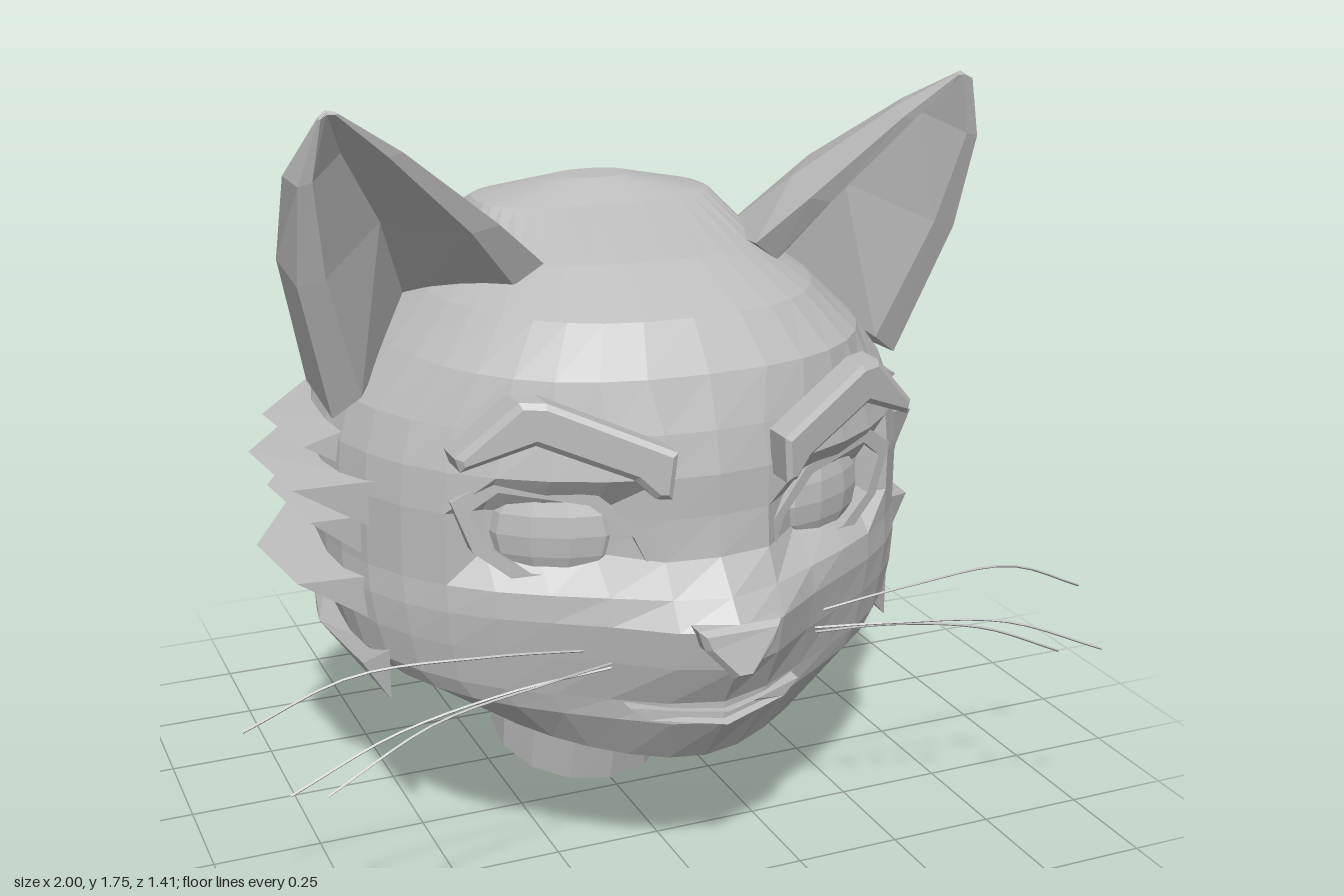
import * as THREE from 'three';
import { ConvexGeometry } from 'three/addons/geometries/ConvexGeometry.js';

const clay = new THREE.MeshStandardMaterial({ color: 0xbcbcbc, flatShading: true });
clay.name = 'clay grey';

// Closed solid through equal-length rings of [x, y, z], turned to face outward
function loft(rings) {
  const tris = [];
  const n = rings[0].length;
  const centre = (r) => [0, 1, 2].map((k) => r.reduce((s, p) => s + p[k], 0) / n);
  const first = rings[0], last = rings[rings.length - 1];
  const c0 = centre(first), c1 = centre(last);
  for (let j = 0; j < n; j++) {
    const k = (j + 1) % n;
    for (let i = 0; i < rings.length - 1; i++) {
      const a = rings[i][j], b = rings[i][k], c = rings[i + 1][k], d = rings[i + 1][j];
      tris.push([a, b, c], [a, c, d]);
    }
    tris.push([c0, first[k], first[j]], [c1, last[j], last[k]]);
  }
  let volume = 0;
  for (const [a, b, c] of tris) {
    volume += a[0] * (b[1] * c[2] - b[2] * c[1]) + a[1] * (b[2] * c[0] - b[0] * c[2]) + a[2] * (b[0] * c[1] - b[1] * c[0]);
  }
  if (volume < 0) tris.forEach((t) => t.reverse());
  const geo = new THREE.BufferGeometry();
  geo.setAttribute('position', new THREE.Float32BufferAttribute(tris.flat(2), 3));
  geo.computeVertexNormals();
  return geo;
}

// Copy of a geometry reflected in x, with corner order restored
function mirror(source) {
  const geo = source.index ? source.toNonIndexed() : source.clone();
  const p = geo.attributes.position;
  const v = [0, 1, 2].map(() => new THREE.Vector3());
  for (let i = 0; i < p.count; i += 3) {
    v.forEach((q, k) => q.fromBufferAttribute(p, i + k));
    [0, 2, 1].forEach((from, k) => p.setXYZ(i + k, -v[from].x, v[from].y, v[from].z));
  }
  geo.computeVertexNormals();
  return geo;
}

// Flat outline extruded and swept back along the slope of the face
function facePlate(outline, hole, z, depth, bevel, slope = 0.47) {
  const points = (list) => list.map(([x, y]) => new THREE.Vector2(x, y));
  const shape = new THREE.Shape(points(outline));
  if (hole) shape.holes.push(new THREE.Path(points(hole)));
  const geo = new THREE.ExtrudeGeometry(shape, {
    depth, bevelEnabled: bevel > 0, bevelSize: bevel, bevelThickness: bevel, bevelOffset: -bevel, bevelSegments: 1,
  });
  const p = geo.attributes.position;
  for (let i = 0; i < p.count; i++) p.setZ(i, p.getZ(i) + z - slope * Math.abs(p.getX(i)));
  geo.computeVertexNormals();
  return geo;
}

// Skull levels: y, side lift, half width, z of widest point, front z, back z, muzzle bulge
const SKULL = [
  [0.33, 0.1, 0.48, 0.08, 0.46, -0.47, 0.05],
  [0.45, 0.05, 0.62, 0.05, 0.5, -0.57, 0.1],
  [0.5, 0.04, 0.66, 0.02, 0.51, -0.61, 0.09],
  [0.6, 0.02, 0.68, 0, 0.53, -0.66, 0.13],
  [0.69, 0, 0.69, -0.03, 0.55, -0.7, 0.13],
  [0.75, 0, 0.69, -0.05, 0.55, -0.71, 0.08],
  [0.82, 0, 0.69, -0.05, 0.55, -0.71, 0.02],
  [0.91, 0, 0.69, -0.05, 0.55, -0.71, 0.01],
  [1.0, 0, 0.68, -0.06, 0.55, -0.69, 0.01],
  [1.09, 0, 0.65, -0.08, 0.54, -0.665, 0],
  [1.2, 0, 0.55, -0.12, 0.5, -0.63, 0],
  [1.3, 0, 0.45, -0.15, 0.42, -0.59, 0],
  [1.385, -0.02, 0.36, -0.15, 0.25, -0.555, 0],
  [1.46, 0, 0.28, -0.15, 0, -0.34, 0],
  [1.505, 0, 0.08, -0.15, -0.09, -0.2, 0],
];

function skullGeometry() {
  const columns = 36;
  return loft(SKULL.map(([y, lift, w, zc, zf, zb, bulge]) => {
    const ring = [];
    // Squarer outline at the back and across the upper forehead
    const frontPower = y > 1.15 ? 0.8 : 1;
    for (let i = 0; i < columns; i++) {
      const a = (i / columns) * Math.PI * 2;
      const s = Math.sin(a), c = Math.cos(a);
      const power = c >= 0 ? frontPower : 0.8;
      const x = w * Math.sign(s) * Math.pow(Math.abs(s), power);
      let z = zc + ((c >= 0 ? zf : zb) - zc) * Math.pow(Math.abs(c), power);
      if (c > 0) z += bulge * Math.exp(-((x / 0.2) ** 2));
      // Hollow the eye sockets
      const ax = Math.abs(x);
      if (c > 0 && ax > 0.17 && ax < 0.46 && y > 0.8 && y < 0.95) z -= 0.07;
      ring.push([x, y + lift * s * s, z]);
    }
    return ring;
  }));
}

// Neck with a thick open rim: half width, front z, back z, front y, back y
function neckGeometry() {
  const levels = [
    [0.14, -0.12, -0.37, 0.18, 0.26],
    [0.16, -0.1, -0.4, 0.03, 0.12],
    [0.23, -0.04, -0.46, 0.003, 0.144],
    [0.23, -0.01, -0.47, 0.13, 0.22],
    [0.25, 0.02, -0.49, 0.21, 0.31],
    [0.33, 0.09, -0.52, 0.3, 0.39],
    [0.45, 0.17, -0.57, 0.37, 0.46],
    [0.58, 0.2, -0.62, 0.44, 0.54],
  ];
  return loft(levels.map(([w, zf, zb, yf, yb]) => Array.from({ length: 14 }, (_, i) => {
    const a = (i / 14) * Math.PI * 2, t = (1 - Math.cos(a)) / 2;
    return [w * Math.sin(a), yf + (yb - yf) * t, zf + (zb - zf) * t];
  })));
}

// Ear sections from base to tip: inner edge, back ridge, outer back, outer edge
function earGeometry() {
  const sections = [
    [[0.25, 1.39, 0.2], [0.44, 1.25, -0.41], [0.67, 1.06, -0.24], [0.69, 1.06, 0.07]],
    [[0.36, 1.49, 0.24], [0.55, 1.51, -0.13], [0.755, 1.38, -0.1], [0.775, 1.38, 0.17]],
    [[0.57, 1.66, 0.27], [0.67, 1.67, 0.09], [0.78, 1.6, 0.11], [0.78, 1.6, 0.24]],
    [[0.7, 1.745, 0.275], [0.72, 1.75, 0.25], [0.735, 1.74, 0.255], [0.74, 1.735, 0.27]],
  ];
  return loft(sections.map((section) => {
    const [inner, back, outerBack, outer] = section.map((p) => new THREE.Vector3(...p));
    const mid = inner.clone().add(outer).add(back).divideScalar(3);
    const innerBack = inner.clone().lerp(back, 0.4).sub(mid).multiplyScalar(1.35).add(mid);
    const rimIn = inner.clone().lerp(outer, 0.14), rimOut = inner.clone().lerp(outer, 0.86);
    const hollow = inner.clone().lerp(outer, 0.5).lerp(back, 0.5);
    return [inner, innerBack, back, outerBack, outer, rimOut, hollow, rimIn].map((p) => p.toArray());
  }));
}

// Cheek fur: broad swept wedges meeting toward the back of the head
function tuftGeometry([x, y, zFront, zBack, backY, root]) {
  return new ConvexGeometry([
    [x - 0.03, y, zFront], [x, y, zBack],
    [0.62, y + 0.06, root], [0.62, y - 0.06, root],
    [0.65, y + 0.04, -0.36], [0.65, y - 0.05, -0.34], [0.52, backY, -0.56],
  ].map((p) => new THREE.Vector3(...p)));
}

function whiskerGeometry(points) {
  const curve = new THREE.CatmullRomCurve3(points.map((p) => new THREE.Vector3(...p)));
  return new THREE.TubeGeometry(curve, 14, 0.003, 4);
}

export function createModel() {
  const model = new THREE.Group();
  model.name = 'catHead';
  const add = (name, geo) => {
    const mesh = new THREE.Mesh(geo, clay);
    mesh.name = name;
    model.add(mesh);
  };
  const addPair = (name, geo) => {
    add(name + 'Left', geo);
    add(name + 'Right', mirror(geo));
  };

  add('skull', skullGeometry());
  add('neck', neckGeometry());
  addPair('ear', earGeometry());

  // Eyes
  const lidOuter = [[0.09, 0.77], [0.17, 0.77], [0.28, 0.755], [0.39, 0.76], [0.48, 0.83], [0.52, 0.94], [0.45, 0.99], [0.24, 0.96], [0.14, 0.87]];
  const lidInner = [[0.14, 0.79], [0.28, 0.78], [0.37, 0.785], [0.45, 0.84], [0.485, 0.92], [0.43, 0.965], [0.26, 0.94], [0.175, 0.87]];
  addPair('eyelid', facePlate(lidOuter, lidInner, 0.51, 0.09, 0));
  const eye = new THREE.SphereGeometry(0.13, 10, 8);
  eye.scale(1.1, 0.9, 0.42).rotateY(0.46).translate(0.31, 0.865, 0.395);
  addPair('eyeball', eye);

  // Brows
  const brow = [[0.13, 0.98], [0.16, 0.98], [0.2, 1.02], [0.38, 1.09], [0.52, 1.03], [0.53, 1.06], [0.41, 1.18], [0.36, 1.18], [0.12, 1.08]];
  addPair('brow', facePlate(brow, null, 0.6, 0.07, 0.012));

  // Nose and mouth
  const nose = [[-0.08, 0.66], [-0.02, 0.595], [0.02, 0.595], [0.08, 0.66], [0.095, 0.705], [-0.095, 0.705]];
  add('nose', facePlate(nose, null, 0.61, 0.085, 0.012, 0.3));
  const lip = [[-0.2, 0.5], [-0.16, 0.47], [0, 0.455], [0.16, 0.47], [0.2, 0.5], [0.08, 0.488], [0, 0.485], [-0.08, 0.488]];
  add('lowerLip', facePlate(lip, null, 0.54, 0.08, 0, 0.33));

  // Cheek tufts: tip x, y, front z, back z, back y, root z
  [
    [0.77, 0.98, 0, -0.27, 1.0, 0.06],
    [0.805, 0.89, 0.02, -0.28, 0.96, 0.19],
    [0.77, 0.81, 0.02, -0.26, 0.92, 0.18],
    [0.805, 0.67, 0.02, -0.25, 0.83, 0.18],
    [0.69, 0.5, 0.12, -0.15, 0.72, 0.2],
  ].forEach((t, i) => addPair('cheekTuft' + (i + 1), tuftGeometry(t)));

  // Whiskers
  [
    [[0.24, 0.62, 0.5], [0.5, 0.655, 0.515], [0.78, 0.645, 0.48], [0.999, 0.55, 0.45]],
    [[0.24, 0.61, 0.55], [0.4, 0.615, 0.6], [0.66, 0.595, 0.65], [0.89, 0.51, 0.7]],
    [[0.24, 0.6, 0.55], [0.45, 0.575, 0.53], [0.7, 0.515, 0.51], [0.92, 0.415, 0.5]],
  ].forEach((w, i) => addPair('whisker' + (i + 1), whiskerGeometry(w)));

  return model;
}
